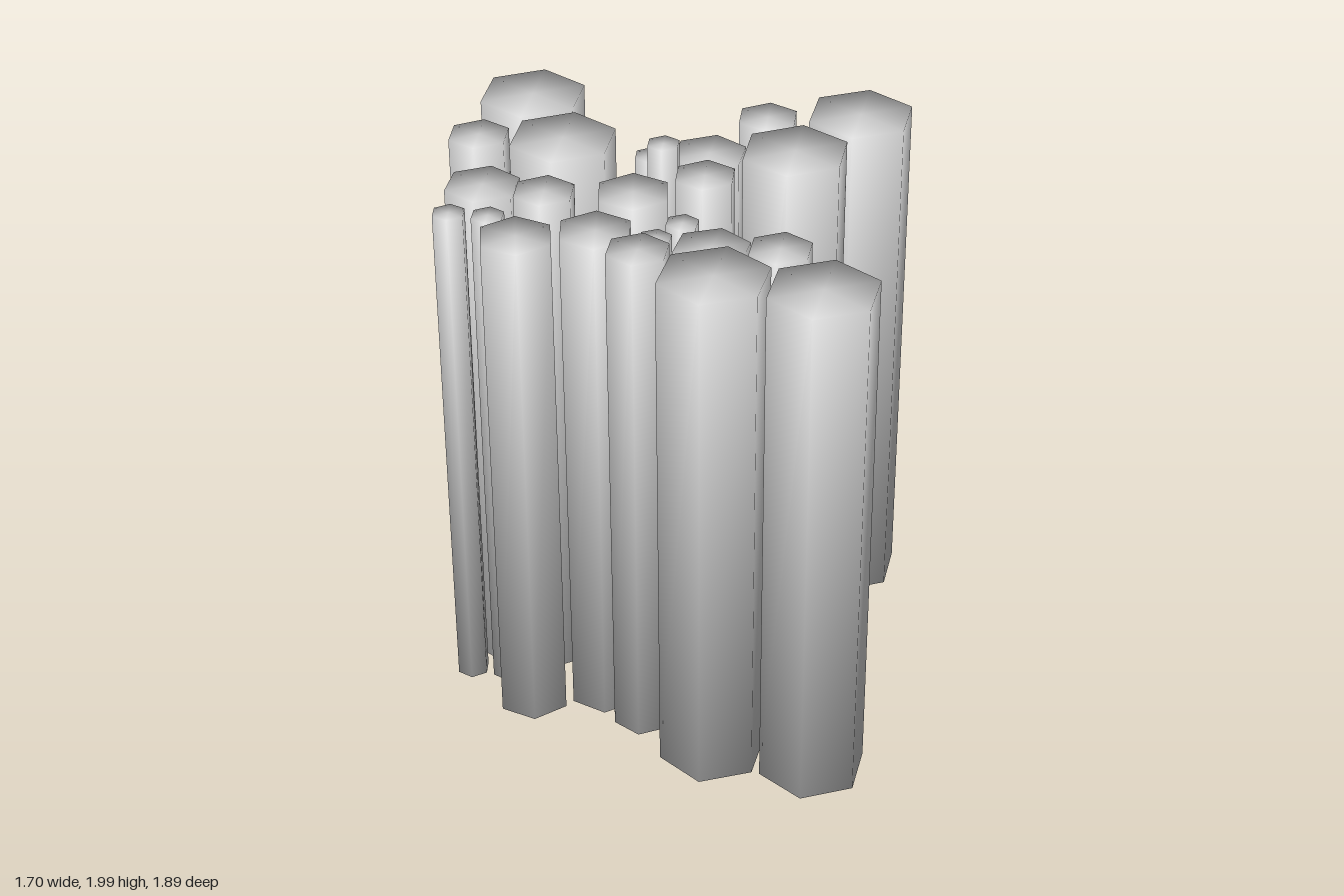
import * as THREE from 'three';

const LENGTH = 1.88;

// Column sizes: corner radius and usual height of the top face
const SIZES = {
  large: { radius: 0.186, top: 1.98 },
  medium: { radius: 0.13, top: 1.91 },
  small: { radius: 0.108, top: 1.95 },
  thin: { radius: 0.058, top: 1.89 },
};

// Each column: x, z, turn in degrees, optional top height
const COLUMNS = {
  large: [
    [-0.337, -0.785, 0], [-0.337, -0.44, 0],
    [0.36, -0.09, 0], [0.665, -0.26, -2],
    [-0.172, 0.585, -4], [0.117, 0.778, -3],
  ],
  medium: [
    [-0.643, -0.36, 0, 1.9], [-0.643, 0.025, 14], [-0.392, 0.077, 10],
    [-0.196, -0.125, 11], [0.14, -0.315, -1, 1.9], [-0.072, 0.29, -5, 1.9],
  ],
  small: [
    [-0.585, -0.595, 4, 1.96], [-0.49, -0.16, 5], [0.04, -0.083, 5],
    [0.375, -0.383, 4, 1.96], [-0.325, 0.305, 1], [0.095, 0.467, 0, 1.96],
  ],
  thin: [
    [-0.795, -0.23, 8], [-0.68, -0.17, 4], [-0.047, -0.382, 5],
    [-0.047, -0.25, 4, 2.0], [-0.1, 0.09, 0], [-0.215, 0.153, 0],
  ],
};

// Six-sided prism with a corner on +x, shaded smoothly over its rims
function hexPrism(radius) {
  const geometry = new THREE.CylinderGeometry(radius, radius, LENGTH, 6, 1, false, Math.PI / 2);
  const position = geometry.attributes.position;
  const normal = geometry.attributes.normal;
  const n = new THREE.Vector3();
  for (let i = 0; i < position.count; i++) {
    // Rim normals average two sides and one cap; cap centres stay vertical
    n.set(position.getX(i) / radius * 1.73, Math.sign(position.getY(i)), position.getZ(i) / radius * 1.73).normalize();
    normal.setXYZ(i, n.x, n.y, n.z);
  }
  return geometry;
}

export function createModel() {
  const model = new THREE.Group();
  model.name = 'hexagonalColumns';
  const material = new THREE.MeshStandardMaterial({ color: 0xcccccc });

  for (const [size, list] of Object.entries(COLUMNS)) {
    const geometry = hexPrism(SIZES[size].radius);
    list.forEach(([x, z, turn, top = SIZES[size].top], i) => {
      const column = new THREE.Mesh(geometry, material);
      column.name = `${size}Column${i + 1}`;
      column.position.set(x, top - LENGTH / 2, z);
      column.rotation.y = THREE.MathUtils.degToRad(turn);
      model.add(column);
    });
  }
  return model;
}
